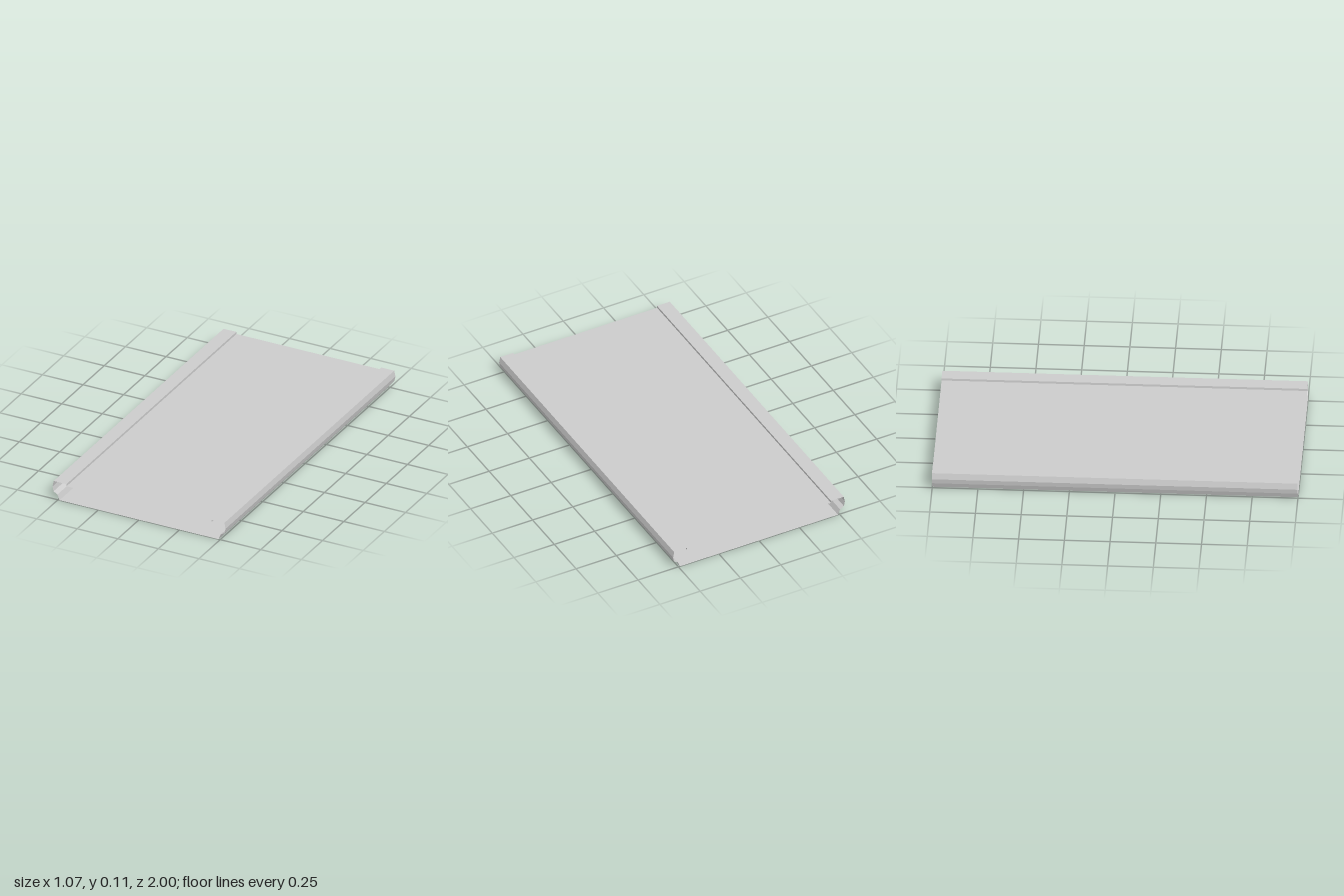
import * as THREE from 'three';

const material = new THREE.MeshStandardMaterial({
  color: 0xcccccc, flatShading: true, side: THREE.DoubleSide,
});
const HALF_LENGTH = 1;

// Sweeps an open [x, y] profile along z, with one flat facet per segment
function sweep(name, profile) {
  const positions = [];
  for (let i = 0; i < profile.length - 1; i++) {
    const [ax, ay] = profile[i];
    const [bx, by] = profile[i + 1];
    const a = [ax, ay, HALF_LENGTH], b = [bx, by, HALF_LENGTH];
    const c = [bx, by, -HALF_LENGTH], d = [ax, ay, -HALF_LENGTH];
    positions.push(...a, ...b, ...c, ...a, ...c, ...d);
  }
  const geometry = new THREE.BufferGeometry();
  geometry.setAttribute('position', new THREE.Float32BufferAttribute(positions, 3));
  geometry.computeVertexNormals();
  const mesh = new THREE.Mesh(geometry, material);
  mesh.name = name;
  return mesh;
}

// Mirrors a profile across x = 0, reversed so that its faces stay outward
const mirror = (profile) => profile.map(([x, y]) => [-x, y]).reverse();

export function createModel() {
  const group = new THREE.Group();
  group.name = 'openEndedPanel';

  const lip = [[0.447, 0.097], [0.447, 0.11], [0.526, 0.11]];
  // Bulging outer wall, undercut groove and tapered foot
  const side = [[0.526, 0.11], [0.533, 0.075], [0.527, 0.046], [0.503, 0.032], [0.49, 0]];

  // Recessed top and flat underside; the two ends stay open
  group.add(sweep('topPanel', [[-0.447, 0.097], [0.447, 0.097]]));
  group.add(sweep('bottomPanel', [[0.49, 0], [-0.49, 0]]));

  // Raised lips and side walls
  group.add(sweep('leftLip', lip), sweep('rightLip', mirror(lip)));
  group.add(sweep('leftSide', side), sweep('rightSide', mirror(side)));
  return group;
}
